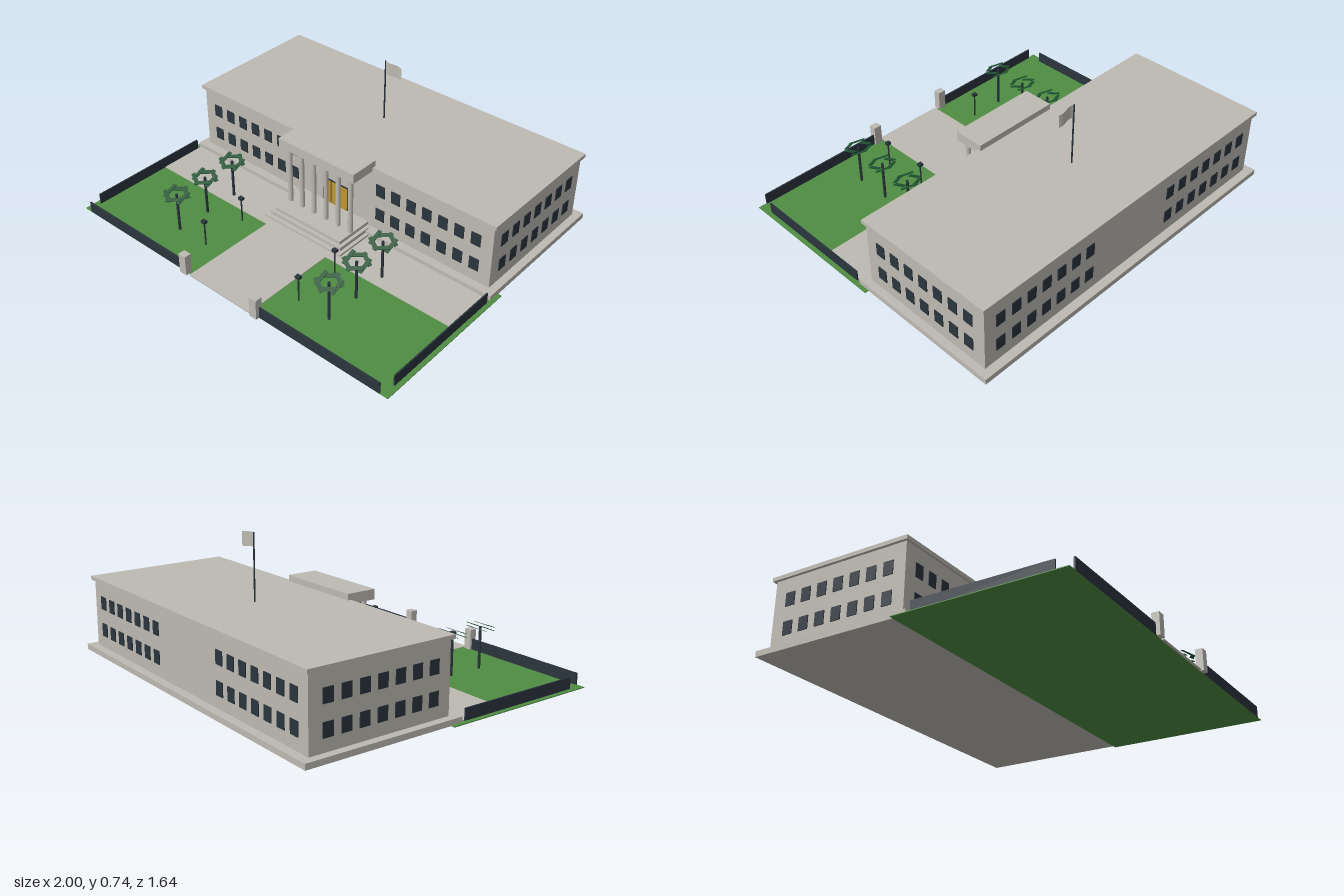
import * as THREE from 'three';

const mat = (name, color, extra = {}) => {
  const m = new THREE.MeshStandardMaterial({ color, ...extra });
  m.name = name;
  return m;
};

export function createModel() {
  const root = new THREE.Group();
  root.name = 'civicBuilding';
  const stone = mat('paleStone', 0xbdbab2);
  const flagCloth = stone.clone();
  flagCloth.name = 'flagCloth';
  flagCloth.side = THREE.DoubleSide;
  const grass = mat('grass', 0x4f8d41);
  const dark = mat('darkSlate', 0x2a343d);
  const gold = mat('goldDoor', 0xbd9630);
  const leaf = mat('palmLeaf', 0x1f5230);

  const add = (name, geo, material, parent = root) => {
    const m = new THREE.Mesh(geo, material);
    m.name = name;
    parent.add(m);
    return m;
  };
  // box given by its min and max on each axis
  const block = (name, [x0, x1], [y0, y1], [z0, z1], material, parent) => {
    const m = add(name, new THREE.BoxGeometry(x1 - x0, y1 - y0, z1 - z0), material, parent);
    m.position.set((x0 + x1) / 2, (y0 + y1) / 2, (z0 + z1) / 2);
    return m;
  };
  const post = (name, r, y0, y1, x, z, material, sides = 8, parent = root) => {
    const m = add(name, new THREE.CylinderGeometry(r, r, y1 - y0, sides), material, parent);
    m.position.set(x, (y0 + y1) / 2, z);
    return m;
  };

  // Grounds
  block('lawn', [-1, 1], [0, 0.004], [-0.045, 0.8], grass);
  block('plaza', [-0.97, 0.97], [0.001, 0.007], [0, 0.285], stone);
  block('entrancePath', [-0.2, 0.2], [0.001, 0.007], [0.28, 0.81], stone);

  // Main building
  block('plinth', [-0.98, 0.98], [0.001, 0.03], [-0.82, 0.02], stone);
  block('mainHall', [-0.94, 0.94], [0.03, 0.38], [-0.775, -0.025], stone);
  block('roofSlab', [-0.955, 0.955], [0.38, 0.4], [-0.79, -0.012], stone);

  // Two rows of seven windows on each wing and each end
  const windows = new THREE.Group();
  windows.name = 'windows';
  root.add(windows);
  for (const y of [0.127, 0.271]) {
    for (let i = 0; i < 7; i++) {
      const x = 0.286 + i * 0.0935;
      const z = -0.117 - i * 0.0938;
      for (const s of [-1, 1]) {
        for (const zw of [-0.025, -0.775]) {
          add('wingWindow', new THREE.BoxGeometry(0.053, 0.068, 0.008), dark, windows)
            .position.set(s * x, y, zw);
        }
        add('endWindow', new THREE.BoxGeometry(0.008, 0.068, 0.053), dark, windows)
          .position.set(s * 0.94, y, z);
      }
    }
  }

  // Portico: steps, columns, roof and doors
  block('bottomStep', [-0.253, 0.253], [0.002, 0.018], [0, 0.24], stone);
  block('middleStep', [-0.234, 0.234], [0.018, 0.037], [0, 0.217], stone);
  block('topStep', [-0.215, 0.215], [0.037, 0.055], [-0.02, 0.197], stone);
  for (let i = 0; i < 6; i++) {
    post('column', 0.013, 0.05, 0.382, -0.2 + i * 0.08, 0.1, stone, 12);
  }
  block('porticoRoof', [-0.243, 0.243], [0.38, 0.432], [-0.033, 0.132], stone);
  block('doorFrame', [-0.084, 0.084], [0.03, 0.192], [-0.026, -0.019], dark);
  for (const x of [-0.055, 0, 0.055]) {
    block('doorPanel', [x - 0.024, x + 0.024], [0.055, 0.187], [-0.02, -0.015], gold);
  }

  // Flagpole with a waving flag
  post('flagpole', 0.004, 0.4, 0.735, 0, -0.4, dark);
  const cloth = new THREE.PlaneGeometry(0.1, 0.07, 10, 1);
  const p = cloth.attributes.position;
  for (let i = 0; i < p.count; i++) {
    const t = (p.getX(i) + 0.05) / 0.1;
    p.setZ(i, 0.005 * Math.sin(t * Math.PI * 2));
    p.setY(i, p.getY(i) - 0.01 * t * t);
  }
  cloth.computeVertexNormals();
  add('flag', cloth, flagCloth).position.set(0.05, 0.699, -0.4);

  // Mirrored garden: fences, gate posts, palms and lamps
  for (const s of [-1, 1]) {
    const span = (a, b) => (s > 0 ? [a, b] : [-b, -a]);
    block('sideFence', span(0.97, 0.977), [0.002, 0.062], [0.04, 0.725], dark);
    block('frontFence', span(0.25, 0.955), [0.002, 0.062], [0.793, 0.801], dark);
    block('gatePost', span(0.211, 0.255), [0.002, 0.112], [0.782, 0.82], stone);

    for (const z of [0.22, 0.41, 0.6]) {
      const palm = new THREE.Group();
      palm.name = 'palm';
      palm.position.set(s * 0.5, 0, z);
      root.add(palm);
      post('trunk', 0.007, 0.002, 0.222, 0, 0, dark, 8, palm);
      // ring of six fronds, all tilted the same way
      for (let i = 0; i < 6; i++) {
        const a = (i * Math.PI) / 3;
        const frond = add('frond', new THREE.BoxGeometry(0.021, 0.003, 0.083), leaf, palm);
        frond.position.set(Math.cos(a) * 0.048, 0.222, Math.sin(a) * 0.048);
        frond.rotation.set(0.4, -a, 0);
      }
    }

    for (const z of [0.345, 0.598]) {
      post('lampPost', 0.004, 0.002, 0.142, s * 0.312, z, dark);
      add('lampHead', new THREE.BoxGeometry(0.025, 0.014, 0.021), dark)
        .position.set(s * 0.312, 0.145, z);
    }
  }
  return root;
}
